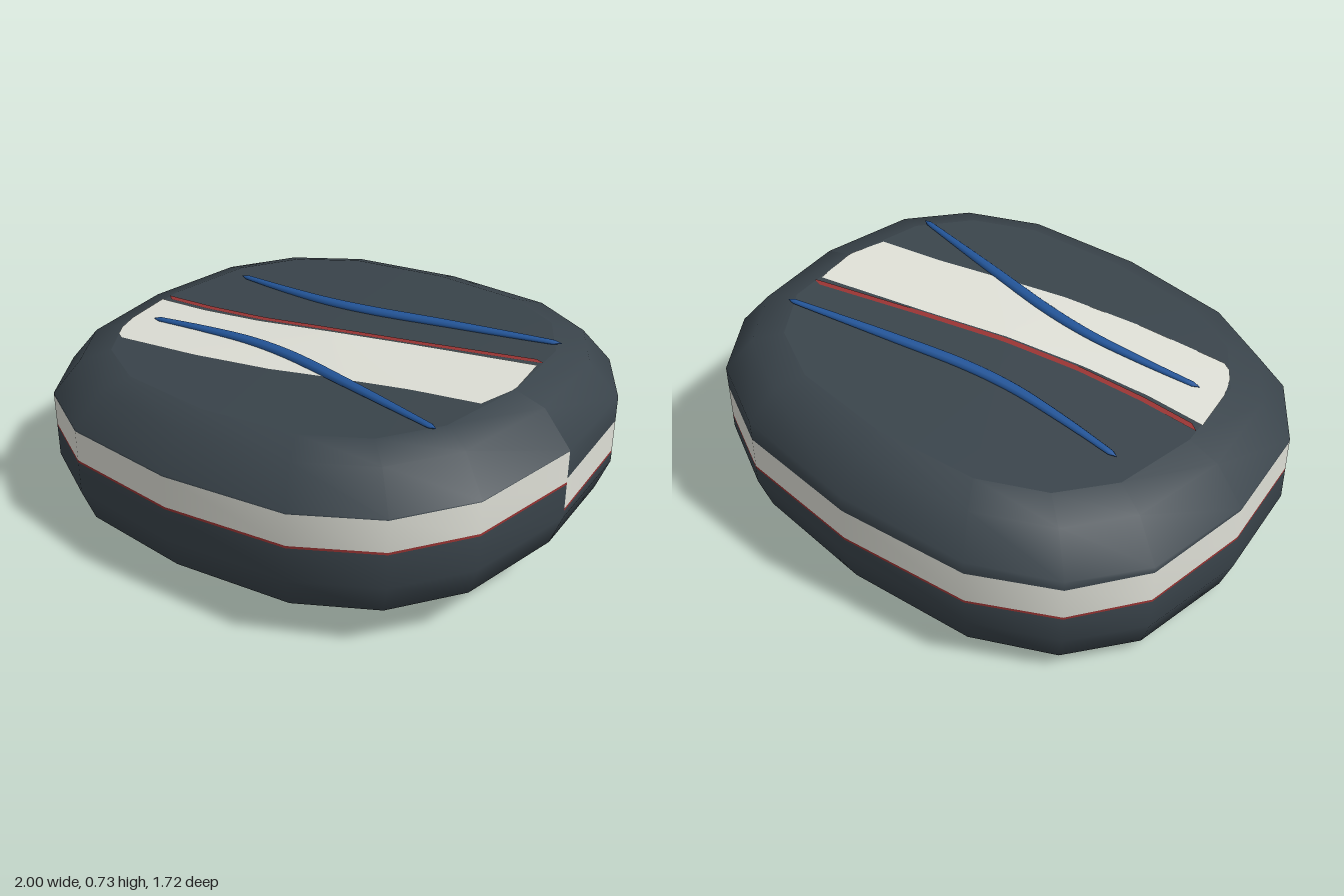
import * as THREE from 'three';

const SIDES = 16, TILT = 0.075, CAP = 0.78, DEPTH = 0.86, POWER = 2.65;

const mat = (name, color) => Object.assign(new THREE.MeshStandardMaterial({ color }), { name });

// Rounded-square outline, and its inverse: 0 at the centre, 1 on the rim
const soft = v => Math.sign(v) * Math.pow(Math.abs(v), 2 / POWER);
const outline = i => {
  const a = (i / SIDES) * Math.PI * 2;
  return [soft(Math.cos(a)), soft(Math.sin(a)) * DEPTH];
};
const gauge = (x, z) =>
  Math.pow(Math.pow(Math.abs(x), POWER) + Math.pow(Math.abs(z) / DEPTH, POWER), 1 / POWER);

// Heights of the two faces; everything leans up towards +x
const topY = (x, z) => 0.675 - 0.015 * gauge(x, z) / CAP + TILT * x;
const bottomY = x => 0.06 + TILT * x;

// Straight-line lookup through [x, z] points
function lookup(points, x) {
  let k = 0;
  while (k < points.length - 2 && x > points[k + 1][0]) k++;
  const [x0, z0] = points[k], [x1, z1] = points[k + 1];
  return z0 + (z1 - z0) * THREE.MathUtils.clamp((x - x0) / (x1 - x0), 0, 1);
}

function makeGeometry(positions, index) {
  const g = new THREE.BufferGeometry();
  g.setAttribute('position', new THREE.Float32BufferAttribute(positions, 3));
  g.setIndex(index);
  return g;
}

// Shell: 16 columns of stacked rings, with colour bands between rings
function shellGeometry() {
  const pos = [], index = [], rings = 9;
  for (let i = 0; i <= SIDES; i++) {
    const [x, z] = outline(i);
    const half = SIDES / 2;
    const band = i <= half ? 0.375 - 0.008 * i / half : 0.367 - 0.097 * (i - half) / half;
    const top = band + 0.119;
    const profile = [[CAP, 0.06], [0.955, 0.118], [1, 0.235], [1, band - 0.009], [1, band],
      [1, top], [1, 0.497], [0.895, 0.623], [CAP, 0.66]];
    for (const [s, y] of profile) pos.push(x * s, y + TILT * x * s, z * s);
  }
  const g = makeGeometry(pos, index);
  for (let j = 0; j < rings - 1; j++) {
    g.addGroup(index.length, SIDES * 6, j === 3 ? 1 : j === 4 ? 2 : 0);
    for (let i = 0; i < SIDES; i++) {
      const a = i * rings + j, d = a + rings;
      index.push(a, a + 1, d + 1, a, d + 1, d);
    }
  }
  g.setIndex(index);
  g.computeVertexNormals();
  return g;
}

// Face closing the shell above or below
function capGeometry(top) {
  const pos = [0, top ? topY(0, 0) : bottomY(0), 0], index = [];
  for (let i = 0; i < SIDES; i++) {
    const [x, z] = outline(i).map(v => v * CAP);
    pos.push(x, top ? 0.66 + TILT * x : bottomY(x), z);
    const a = i + 1, b = (i + 1) % SIDES + 1;
    index.push(0, ...(top ? [b, a] : [a, b]));
  }
  const g = makeGeometry(pos, index);
  g.computeVertexNormals();
  return g;
}

// Thin painted strip lying on a face between two edge curves
const faceEdge = [0, 1, 2, 3, 4].map(i => outline(i).map(v => v * CAP)).reverse();
function stripGeometry(near, far, x0, x1, top) {
  const pos = [], index = [], nx = 48, nz = 6;
  for (let i = 0; i <= nx; i++) {
    const x = x0 + (x1 - x0) * i / nx;
    const limit = lookup(faceEdge, Math.abs(x));
    const a = Math.max(near(x), -limit), b = Math.max(a, Math.min(far(x), limit));
    for (let j = 0; j <= nz; j++) {
      const z = a + (b - a) * j / nz;
      pos.push(x, top ? topY(x, z) + 0.003 : bottomY(x) - 0.002, z);
      if (i === nx || j === nz) continue;
      const p = i * (nz + 1) + j, q = p + nz + 1;
      index.push(...(top ? [p, p + 1, q + 1, p, q + 1, q] : [p, q + 1, p + 1, p, q, q + 1]));
    }
  }
  const g = makeGeometry(pos, index);
  g.computeVertexNormals();
  return g;
}

// Raised rib: a flattened tube, thickest near the middle, closed at both ends
function ribGeometry(side) {
  const path = [[-0.66, 0.245], [-0.42, 0.222], [-0.2, 0.212], [0, 0.228], [0.3, 0.285], [0.73, 0.372]];
  const curve = new THREE.CatmullRomCurve3(path.map(([x, z]) =>
    new THREE.Vector3(x, topY(x, z) + 0.007, z * side)));
  const n = 48, around = 10;
  const g = new THREE.TubeGeometry(curve, n, 1, around);
  const p = g.attributes.position, v = new THREE.Vector3();
  for (let k = 0; k < p.count; k++) {
    const i = Math.floor(k / (around + 1)), t = i / n;
    const c = curve.getPointAt(t);
    const r = i === 0 || i === n ? 0 : 0.011 + 0.012 * Math.sin(Math.PI * t);
    v.fromBufferAttribute(p, k).sub(c).multiplyScalar(r);
    v.y *= 0.65;
    v.add(c);
    p.setXYZ(k, v.x, v.y, v.z);
  }
  g.computeVertexNormals();
  return g;
}

export function createModel() {
  const group = new THREE.Group();
  const slate = mat('slate', 0x3a444b), cream = mat('cream', 0xdedfd6);
  const red = mat('red', 0x983433), blue = mat('blue', 0x24569a);
  const add = (name, geometry, material) => {
    const mesh = new THREE.Mesh(geometry, material);
    mesh.name = name;
    group.add(mesh);
  };

  add('shell', shellGeometry(), [slate, red, cream]);

  // Edges of the painted stripe and the thin line beside it
  const near = x => lookup([[-0.78, 0.088], [-0.55, 0.083], [-0.3, 0.055], [0, -0.005],
    [0.3, -0.082], [0.78, -0.195]], x);
  const far = x => lookup([[-0.78, 0.435], [-0.62, 0.425], [-0.3, 0.395], [0, 0.342],
    [0.2, 0.285], [0.5, 0.2], [0.78, 0.142]], x);
  const line = x => lookup([[-0.78, 0.06], [-0.55, 0.056], [-0.3, 0.033], [0, -0.024],
    [0.3, -0.1], [0.75, -0.222]], x);

  for (const [label, top] of [['top', true], ['bottom', false]]) {
    add(label + 'Face', capGeometry(top), slate);
    add(label + 'Stripe', stripGeometry(near, far, -0.774, 0.778, top), cream);
    add(label + 'Line', stripGeometry(x => line(x) - 0.012, x => line(x) + 0.012, -0.774, 0.75, top), red);
  }

  add('frontRib', ribGeometry(1), blue);
  add('backRib', ribGeometry(-1), blue);
  return group;
}
